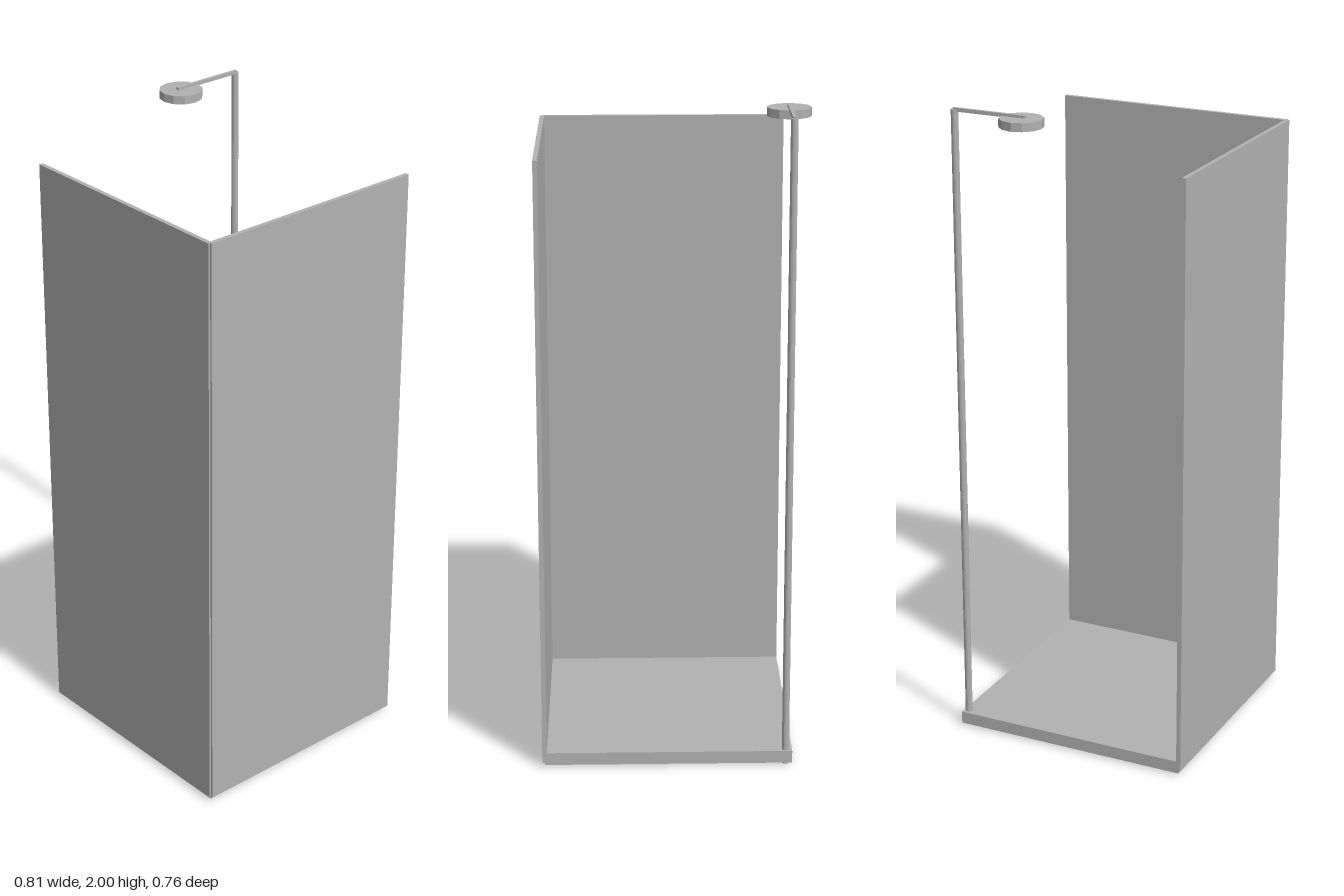
import * as THREE from 'three';

export function createModel() {
  const root = new THREE.Group();
  root.name = 'showerCabin';

  const grey = new THREE.MeshStandardMaterial({ color: 0xb2b2b2 });
  grey.name = 'plainGrey';

  const add = (name, geometry, x = 0, y = 0, z = 0) => {
    const mesh = new THREE.Mesh(geometry, grey);
    mesh.name = name;
    mesh.position.set(x, y, z);
    root.add(mesh);
    return mesh;
  };
  // Box given by its low and high limits on each axis
  const slab = (name, [x0, x1], [y0, y1], [z0, z1]) =>
    add(name, new THREE.BoxGeometry(x1 - x0, y1 - y0, z1 - z0),
      (x0 + x1) / 2, (y0 + y1) / 2, (z0 + z1) / 2);

  // Tray and the two screens that overlap its edges
  slab('tray', [-0.361, 0.397], [0.006, 0.045], [-0.381, 0.374]);
  slab('frontScreen', [-0.361, 0.399], [0.014, 1.88], [0.367, 0.381]);
  slab('leftScreen', [0.391, 0.405], [0.014, 1.88], [-0.382, 0.375]);

  // Riser pole, arm and round head
  const px = -0.341, pz = -0.366;
  add('riserPole', new THREE.CylinderGeometry(0.011, 0.011, 1.995, 12), px, 0.9975, pz);
  slab('showerArm', [px - 0.005, px + 0.005], [1.989, 2], [pz - 0.004, -0.133]);
  add('showerHead', new THREE.CylinderGeometry(0.066, 0.066, 0.026, 12), px, 1.979, -0.147);

  // Flat facets on the round parts
  root.traverse((part) => {
    if (!part.isMesh) return;
    part.geometry = part.geometry.toNonIndexed();
    part.geometry.computeVertexNormals();
  });
  return root;
}
